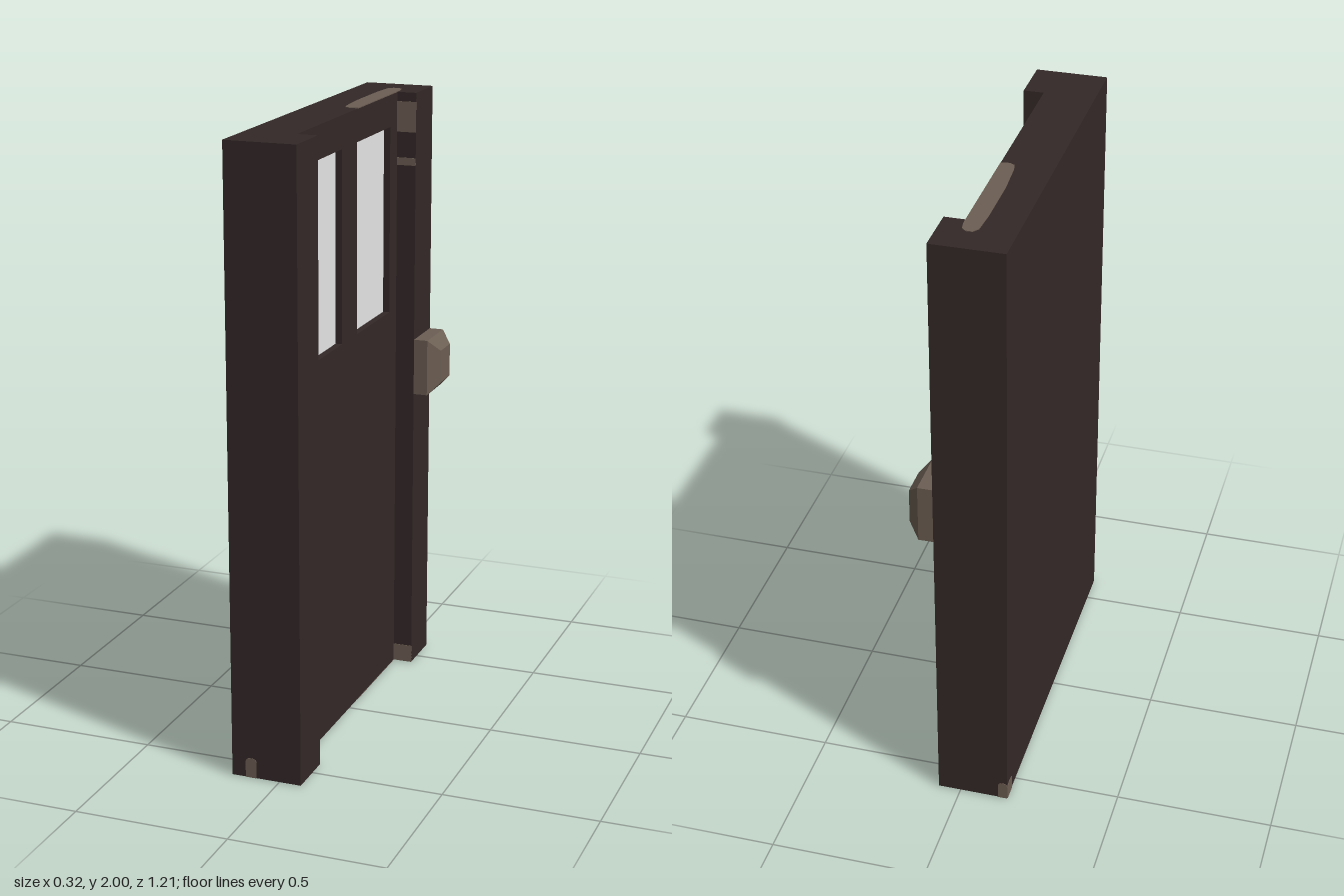
import * as THREE from 'three';

export function createModel() {
  const door = new THREE.Group();
  door.name = 'door';

  const wood = new THREE.MeshStandardMaterial({ color: 0x342828 });
  wood.name = 'dark wood';
  const bronze = new THREE.MeshStandardMaterial({ color: 0x6c5e53 });
  bronze.name = 'worn bronze';
  const glass = new THREE.MeshStandardMaterial({ color: 0xe6e6e6 });
  glass.name = 'pale glass';

  const add = (name, geometry, material) => {
    const mesh = new THREE.Mesh(geometry, material);
    mesh.name = name;
    door.add(mesh);
    return mesh;
  };
  // Box given by its lower and upper limits on each axis
  const box = (name, x, y, z, material) =>
    add(name, new THREE.BoxGeometry(x[1] - x[0], y[1] - y[0], z[1] - z[0])
      .translate((x[0] + x[1]) / 2, (y[0] + y[1]) / 2, (z[0] + z[1]) / 2), material);

  const back = -0.157, recess = -0.017, face = 0.008, stileFace = 0.073;
  const half = 0.602, inner = 0.437;
  const windowY = [1.275, 1.895];
  const windows = [[0.07, 0.37], [-0.37, -0.063]];

  // Solid back and raised edge stiles
  box('backSlab', [back, recess], [0, 2], [-half, half], wood);
  box('hingeStile', [recess, stileFace], [0, 2], [inner, half], wood);
  box('latchStile', [recess, stileFace], [0, 2], [-half, -inner], wood);

  // Centre panel pierced by two windows; shape x runs along -z
  const rect = (target, x0, x1, y0, y1) =>
    target.moveTo(x0, y0).lineTo(x1, y0).lineTo(x1, y1).lineTo(x0, y1).closePath();
  const panel = new THREE.Shape();
  rect(panel, -inner, inner, 0, 2);
  for (const [z0, z1] of windows) {
    const hole = new THREE.Path();
    rect(hole, -z1, -z0, ...windowY);
    panel.holes.push(hole);
    box('windowPane', [recess, recess + 0.003], windowY, [z0, z1], glass);
  }
  add('centrePanel', new THREE.ExtrudeGeometry(panel, { depth: face - recess, bevelEnabled: false })
    .rotateY(Math.PI / 2).translate(recess, 0, 0), wood);

  // Handle: square block with a tapered cap
  box('handleBase', [stileFace, 0.12], [0.98, 1.17], [-0.602, -0.437], bronze);
  const cap = new THREE.CylinderGeometry(0.59 * Math.SQRT1_2, Math.SQRT1_2, 1, 4)
    .rotateY(Math.PI / 4).rotateZ(-Math.PI / 2)
    .scale(0.037, 0.19, 0.165).translate(0.1385, 1.075, -0.5195).toNonIndexed();
  cap.computeVertexNormals();
  add('handleCap', cap, bronze);

  // Long worn patch on the top edge, repeated underneath; shape y is -z
  const patch = new THREE.Shape([
    [0.008, 0.07], [0.008, 0.46], [0.003, 0.492], [-0.01, 0.504], [-0.03, 0.504],
    [-0.045, 0.485], [-0.05, 0.4], [-0.05, 0.22], [-0.042, 0.1], [-0.036, 0.075], [-0.02, 0.066],
  ].map(([x, y]) => new THREE.Vector2(x, y)));
  const flat = (depth) => new THREE.ExtrudeGeometry(patch, { depth, bevelEnabled: false }).rotateX(-Math.PI / 2);
  add('topPatch', flat(0.003).translate(0, 1.999, 0), bronze);
  add('bottomPatch', flat(0.003).translate(0, -0.002, 0), bronze);

  // Small rounded chips along the lower edge
  const chip = (name, width, height) => {
    const s = new THREE.Shape();
    s.moveTo(-width / 2, 0).lineTo(width / 2, 0).lineTo(width / 2, height * 0.8)
      .quadraticCurveTo(width / 2, height, 0, height)
      .quadraticCurveTo(-width / 2, height, -width / 2, height * 0.8).closePath();
    return add(name, new THREE.ExtrudeGeometry(s, { depth: 0.003, bevelEnabled: false }), bronze);
  };
  chip('frontChip', 0.036, 0.065).position.set(-0.093, 0, half - 0.001);
  chip('backChip', 0.03, 0.06).position.set(back + 0.015, 0, -half - 0.002);
  const corner = chip('cornerChip', 0.055, 0.055);
  corner.rotation.y = -Math.PI / 2;
  corner.position.set(back + 0.001, 0, -half + 0.0275);

  // Strike marks on the inner side of the latch stile
  for (const [y0, y1] of [[0, 0.06], [1.76, 1.785], [1.87, 1.97]])
    box('strikeMark', [face, stileFace], [y0, y1], [-inner - 0.001, -inner + 0.002], bronze);

  return door;
}
